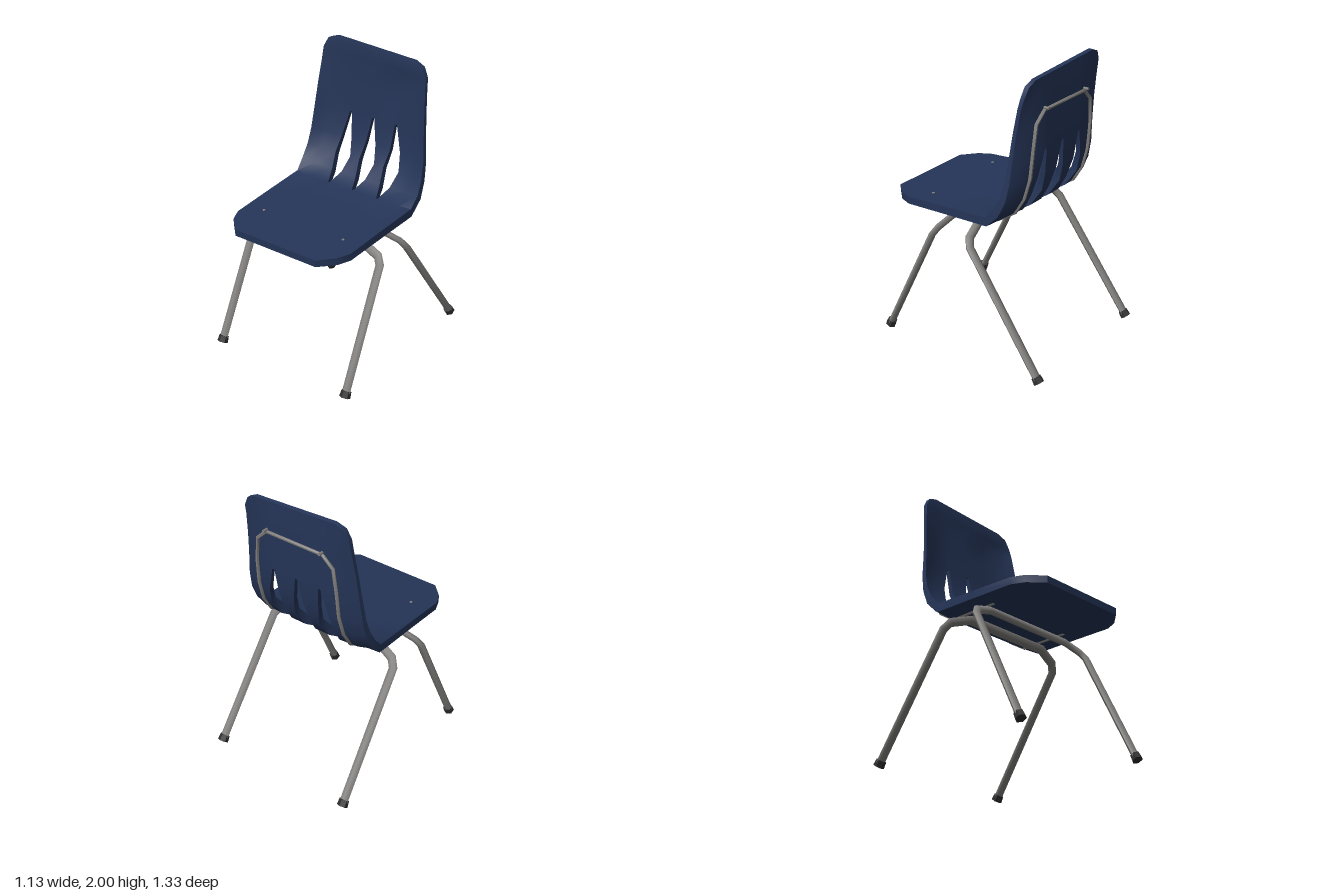
import * as THREE from 'three';
import { toCreasedNormals } from 'three/addons/utils/BufferGeometryUtils.js';

const material = (name, color) => {
  const m = new THREE.MeshStandardMaterial({ color });
  m.name = name;
  return m;
};

// Centre line of the shell, front edge to top edge:
// z, y, half width, rim lift, slot half width, thickness
const ROWS = [
  [0.665, 0.995, 0.325, 0, 0.02, 0.048],
  [0.57, 1.0, 0.42, 0, 0.02, 0.05],
  [0.48, 1.003, 0.46, 0, 0.02, 0.05],
  [0.15, 1.018, 0.467, 0.004, 0.02, 0.055],
  [-0.17, 1.03, 0.474, 0.008, 0.005, 0.06],
  [-0.26, 1.085, 0.48, 0.035, 0.04, 0.055],
  [-0.33, 1.18, 0.472, 0.05, 0.062, 0.045],
  [-0.375, 1.3, 0.463, 0.06, 0.04, 0.035],
  [-0.402, 1.48, 0.446, 0.065, 0.008, 0.028],
  [-0.406, 1.64, 0.432, 0.05, 0.02, 0.026],
  [-0.41, 1.79, 0.418, 0.032, 0.02, 0.026],
  [-0.408, 1.9, 0.408, 0.015, 0.02, 0.03],
  [-0.405, 1.965, 0.375, 0.004, 0.02, 0.032],
  [-0.41, 1.995, 0.31, 0, 0.02, 0.028],
];
const SLOT_START = 4, SLOT_END = 8, COLS = 10;

function shellGeometry() {
  const pos = [], index = [];
  ROWS.forEach(([z, y, w, lift, h, t], i) => {
    const p = ROWS[Math.max(i - 1, 0)], n = ROWS[Math.min(i + 1, ROWS.length - 1)];
    const dz = n[0] - p[0], dy = n[1] - p[1], len = Math.hypot(dz, dy);
    const nz = dy / len, ny = -dz / len;
    const c = i >= SLOT_END ? 0.185 : 0.2;
    const xs = [-w, -w * 0.8, -c - h, -c + h, -h, h, c - h, c + h, w * 0.8, w];
    xs.forEach((x, j) => {
      const up = lift * (j % 9 === 0 ? 1 : j % 7 === 1 ? 0.25 : 0);
      const skew = i > 10 ? -0.035 * (x + 0.3) / 0.67 : 0;       // sloping top edge
      const dent = i === 10 && j > 5 && j < 9 ? 0.016 : 0;       // hollow in one upper corner
      pos.push(x, y + ny * up + skew, z + nz * up - dent);
      pos.push(x, y + ny * (up - t) + skew, z + nz * (up - t));
    });
  });
  const id = (i, j) => (i * COLS + j) * 2;
  const solid = (i, j) => i >= 0 && j >= 0 && i < ROWS.length - 1 && j < COLS - 1 &&
    !(i >= SLOT_START && i < SLOT_END && (j === 2 || j === 4 || j === 6));
  const quad = (a, b, c, d) => index.push(a, b, c, a, c, d);
  for (let i = 0; i < ROWS.length - 1; i++) {
    for (let j = 0; j < COLS - 1; j++) {
      if (!solid(i, j)) continue;
      const a = id(i, j), b = id(i, j + 1), c = id(i + 1, j + 1), d = id(i + 1, j);
      quad(a, b, c, d);
      quad(d + 1, c + 1, b + 1, a + 1);
      // walls along the outer rim and the slots
      const wall = (p, q) => quad(p, p + 1, q + 1, q);
      if (!solid(i - 1, j)) wall(a, b);
      if (!solid(i, j + 1)) wall(b, c);
      if (!solid(i + 1, j)) wall(c, d);
      if (!solid(i, j - 1)) wall(d, a);
    }
  }
  const g = new THREE.BufferGeometry();
  g.setAttribute('position', new THREE.Float32BufferAttribute(pos, 3));
  g.setIndex(index);
  return toCreasedNormals(g, 0.7);
}

// Mitred oval tube along a polyline; "normal" is the direction of its thin axis
function ovalTube(points, normal, wide, thin, sides = 8) {
  const pos = [], index = [], last = points.length - 1;
  const n = normal.clone().normalize();
  points.forEach((p, i) => {
    const t0 = p.clone().sub(points[Math.max(i - 1, 0)]).normalize();
    const t1 = points[Math.min(i + 1, last)].clone().sub(p).normalize();
    const t = t0.clone().add(t1).normalize();
    const stretch = 1 / Math.max(t.dot(i < last ? t1 : t0), 0.7);
    const s = new THREE.Vector3().crossVectors(n, t).normalize();
    const v = new THREE.Vector3().crossVectors(t, s);
    for (let k = 0; k < sides; k++) {
      const a = k / sides * Math.PI * 2;
      const q = p.clone().addScaledVector(s, Math.cos(a) * wide * stretch)
        .addScaledVector(v, Math.sin(a) * thin);
      pos.push(q.x, q.y, q.z);
    }
  });
  for (let i = 0; i < last; i++) {
    for (let k = 0; k < sides; k++) {
      const a = i * sides + k, b = i * sides + (k + 1) % sides;
      index.push(a, b, b + sides, a, b + sides, a + sides);
    }
  }
  for (let k = 1; k < sides - 1; k++) {
    const e = last * sides;
    index.push(0, k + 1, k, e, e + k, e + k + 1);
  }
  const g = new THREE.BufferGeometry();
  g.setAttribute('position', new THREE.Float32BufferAttribute(pos, 3));
  g.setIndex(index);
  return toCreasedNormals(g, 0.9);
}

const V = (x, y, z) => new THREE.Vector3(x, y, z);
const mirrored = (half) => [...half, ...half.slice().reverse().map((p) => V(-p.x, p.y, p.z))];

export function createModel() {
  const model = new THREE.Group();
  model.name = 'chair';
  const navy = material('navy plastic', 0x253558);
  const steel = material('grey steel', 0x807f7d);
  const rubber = material('black rubber', 0x2e2e2e);
  const add = (name, geometry, mat) => {
    const mesh = new THREE.Mesh(geometry, mat);
    mesh.name = name;
    model.add(mesh);
    return mesh;
  };

  add('seatShell', shellGeometry(), navy);

  // Leg frames: one bent tube each, foot to foot under the seat
  const frames = {
    front: [V(0.525, 0.04, 0.615), V(0.512, 0.82, 0.235), V(0.48, 0.865, 0.21), V(0.35, 0.908, 0.19)],
    rear: [V(0.53, 0.04, -0.625), V(0.51, 0.81, -0.075), V(0.475, 0.86, -0.045), V(0.33, 0.912, -0.01)],
  };
  for (const [name, half] of Object.entries(frames)) {
    const leg = half[1].clone().sub(half[0]);
    const normal = V(1, 0, 0).cross(leg);
    add(name + 'LegFrame', ovalTube(mirrored(half), normal, 0.031, 0.021), steel);
    for (const side of [1, -1]) {
      const dir = V(leg.x * side, leg.y, leg.z).normalize();
      const foot = add(name + 'Foot', toCreasedNormals(
        new THREE.CylinderGeometry(0.033, 0.037, 0.045, 6), 0.5), rubber);
      foot.position.set(half[0].x * side, 0.038, half[0].z);
      foot.quaternion.setFromUnitVectors(V(0, 1, 0), dir);
    }
  }

  // Thin rod behind the backrest, running down and under the seat
  const rod = mirrored([
    V(0.33, 0.965, 0.2), V(0.33, 0.972, -0.17), V(0.33, 1.055, -0.3), V(0.33, 1.17, -0.37),
    V(0.325, 1.32, -0.412), V(0.32, 1.5, -0.428), V(0.3, 1.67, -0.436), V(0.22, 1.745, -0.44)]);
  add('backRod', ovalTube(rod, V(0, 0.3, 1), 0.012, 0.012, 6), steel);

  // Small fasteners in the seat and backrest
  for (const side of [1, -1]) {
    const rivet = new THREE.CylinderGeometry(0.01, 0.01, 0.008, 6);
    add('seatRivet', rivet, steel).position.set(0.325 * side, 1.008, 0.375);
    const pin = add('backPin', new THREE.CylinderGeometry(0.01, 0.01, 0.035, 6), steel);
    pin.rotation.x = Math.PI / 2;
    pin.position.set(0.22 * side, 1.76, -0.455);
  }
  return model;
}
